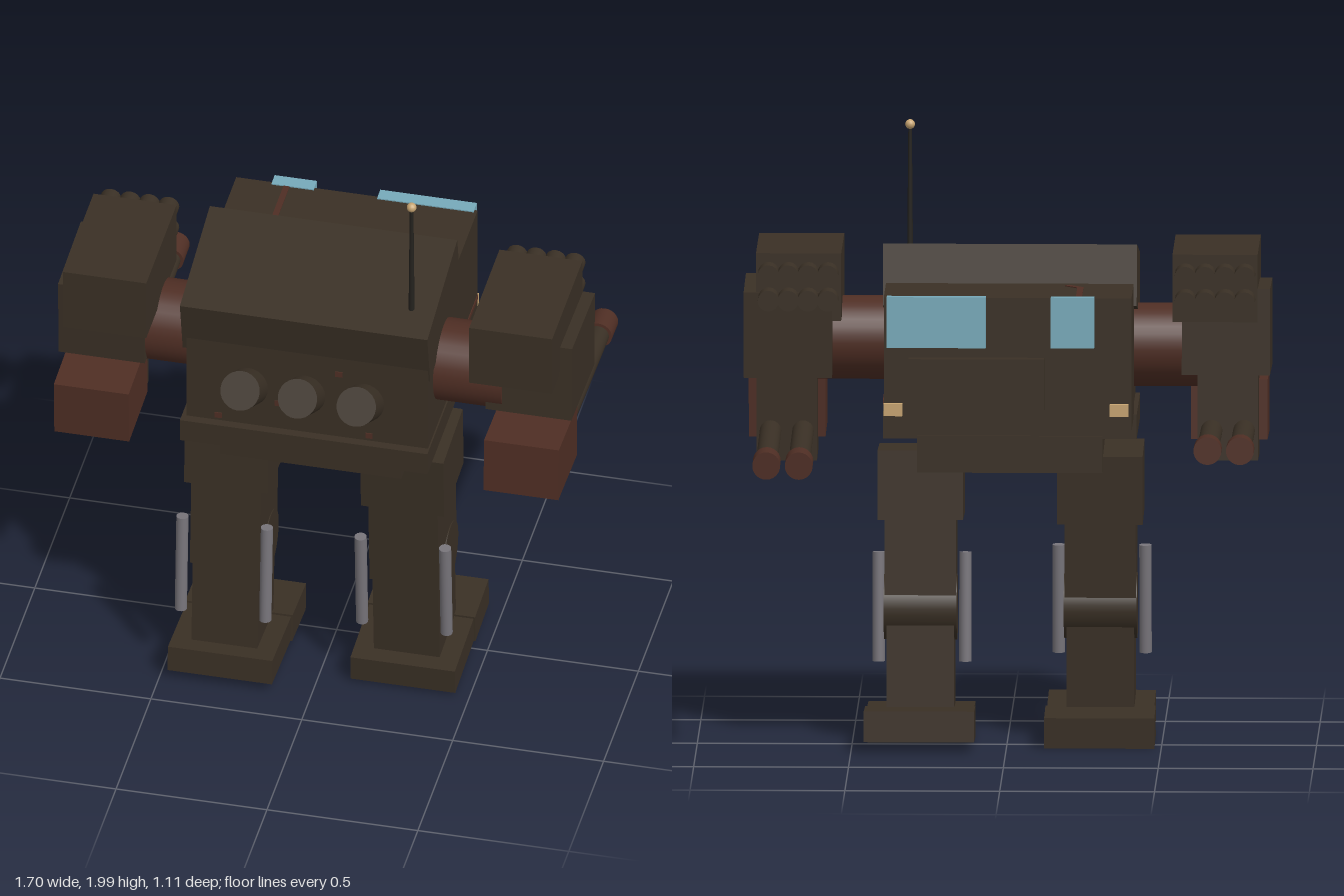
import * as THREE from 'three';

const mat = (name, color) => {
  const m = new THREE.MeshStandardMaterial({ color });
  m.name = name;
  return m;
};

export function createModel() {
  const armor = mat('dark brown armor', 0x3a3025);
  const rust = mat('rust red', 0x4f2e24);
  const glass = mat('window blue', 0x76a8b8);
  const steel = mat('piston grey', 0x77747a);
  const tan = mat('lamp tan', 0xc8a572);
  const dark = mat('antenna dark', 0x24221e);

  const model = new THREE.Group();
  model.name = 'walker';

  const add = (parent, name, geo, material, x, y, z) => {
    const m = new THREE.Mesh(geo, material);
    m.name = name;
    m.position.set(x, y, z);
    parent.add(m);
    return m;
  };
  // box given by its limits on each axis
  const box = (parent, name, material, x0, x1, y0, y1, z0, z1) =>
    add(parent, name, new THREE.BoxGeometry(x1 - x0, y1 - y0, z1 - z0), material,
      (x0 + x1) / 2, (y0 + y1) / 2, (z0 + z1) / 2);
  // cylinder lying along an axis
  const rod = (parent, name, material, r, len, axis, x, y, z, sides = 24) => {
    const g = new THREE.CylinderGeometry(r, r, len, sides);
    if (axis === 'x') g.rotateZ(Math.PI / 2);
    if (axis === 'z') g.rotateX(Math.PI / 2);
    return add(parent, name, g, material, x, y, z);
  };
  // group whose children use model coordinates but swing about a pivot
  const swing = (name, y, z, angle) => {
    const outer = new THREE.Group();
    const inner = new THREE.Group();
    outer.name = name;
    outer.position.set(0, y, z);
    outer.rotation.x = angle;
    inner.position.set(0, -y, -z);
    outer.add(inner);
    model.add(outer);
    return inner;
  };

  // Torso
  box(model, 'body', armor, -0.405, 0.395, 1.08, 1.45, 0, 0.4);
  box(model, 'waistPlate', armor, -0.42, 0.4, 1.01, 1.09, -0.04, 0.43);
  box(model, 'pelvis', armor, -0.31, 0.29, 0.9, 1.02, -0.05, 0.33);
  const roof = box(model, 'slopedRoof', armor, -0.42, 0.4, -0.1, 0.1, -0.22, 0.22);
  roof.position.set(-0.01, 1.497, 0.195);
  roof.rotation.x = 0.207;

  // Cockpit at the -z end
  box(model, 'cockpit', armor, -0.41, 0.39, 1.08, 1.515, -0.335, 0.02);
  box(model, 'noseBlock', armor, -0.13, 0.31, 1.15, 1.32, -0.375, -0.32);
  for (const [x0, x1] of [[0.06, 0.38], [-0.29, -0.15]]) {
    const w = box(model, 'window', glass, x0, x1, 1.355, 1.52, -0.37, -0.325);
    w.rotation.x = 0.05;
  }
  for (const x of [0.36, -0.37])
    box(model, 'lamp', tan, x - 0.03, x + 0.03, 1.13, 1.17, -0.352, -0.33);

  // Rust streaks and spots
  box(model, 'roofStreak', rust, -0.25, -0.23, 1.512, 1.518, -0.33, -0.12);
  const bend = box(model, 'roofStreakBend', rust, -0.01, 0.01, 1.512, 1.518, -0.035, 0.035);
  bend.position.set(-0.22, 1.515, -0.1);
  bend.rotation.y = 0.75;
  box(model, 'sideStreak', rust, 0.388, 0.393, 1.165, 1.18, -0.33, -0.14);
  for (const [x, y] of [[-0.1, 1.19], [0.1, 1.34], [-0.3, 1.11], [0.2, 1.11]])
    box(model, 'rustSpot', rust, x - 0.012, x + 0.012, y - 0.01, y + 0.01, 0.397, 0.403);

  // Exhaust stacks
  for (const x of [-0.2, -0.01, 0.185]) {
    const e = rod(model, 'exhaust', armor, 0.065, 0.24, 'z', x, 1.25, 0.416);
    e.rotation.x = -Math.PI / 6;
  }

  // Antenna
  add(model, 'antenna', new THREE.CylinderGeometry(0.006, 0.01, 0.43, 10), dark, 0.32, 1.77, 0.31);
  add(model, 'antennaTip', new THREE.SphereGeometry(0.016, 14, 10), tan, 0.32, 1.983, 0.31);

  for (const s of [1, -1]) {
    const side = s > 0 ? 'left' : 'right';
    const sx = (a, b) => (s > 0 ? [a, b] : [-b, -a]);

    // Shoulder pod and its launch tubes
    rod(model, side + 'ShoulderJoint', rust, 0.135, 0.26, 'x', s * 0.49, 1.297 + s * 0.008, 0.18 + s * 0.013, 32);
    box(model, side + 'Pod', armor, ...sx(0.535, 0.81), 1.39, 1.61, -0.02, 0.415);
    for (let r = 0; r < 2; r++)
      for (let c = 0; c < 4; c++)
        rod(model, 'launchTube', armor, 0.034, 0.12, 'z',
          s * (0.577 + c * 0.064), 1.465 + r * 0.083, -0.035, 16);

    // Arm
    const arm = swing(side + 'Arm', 1.3, 0.17, -s * 0.04);
    box(arm, 'upperArm', armor, ...sx(0.565, 0.85), 1.21, 1.49, -0.02, 0.31);
    box(arm, 'forearm', armor, ...sx(0.615, 0.81), 0.925, 1.22, 0.05, 0.255);
    box(arm, 'counterweight', rust, ...sx(0.59, 0.838), 0.98, 1.175, 0.17, 0.435);
    for (const x of [0.66, 0.765]) {
      rod(arm, 'barrel', armor, 0.035, 0.54, 'z', s * x, 1.022, -0.22);
      rod(arm, 'muzzle', rust, 0.045, 0.09, 'z', s * x, 1.022, -0.5);
    }

    // Leg
    const cx = s * 0.29 - 0.01;
    const leg = swing(side + 'Leg', 0.95, 0.14, s * 0.064);
    const part = (name, w, y0, y1, z0, z1) =>
      box(leg, name, armor, cx - w, cx + w, y0, y1, z0, z1);
    part('thigh', 0.138, 0.73, 0.955, 0, 0.28);
    part('upperShin', 0.115, 0.42, 0.74, 0.02, 0.275);
    part('lowerShin', 0.109, 0.08, 0.46, 0.025, 0.26);
    part('foot', 0.173, 0.025, 0.115, -0.13, 0.32);
    part('toe', 0.178, 0.022, 0.122, -0.145, 0.05);
    rod(leg, 'knee', armor, 0.107, 0.236, 'x', cx, 0.44, 0.117, 32);
    for (const d of [-0.14, 0.14])
      rod(leg, 'piston', steel, 0.02, 0.355, 'y', cx + d, 0.425, 0.285, 16);
  }
  return model;
}
